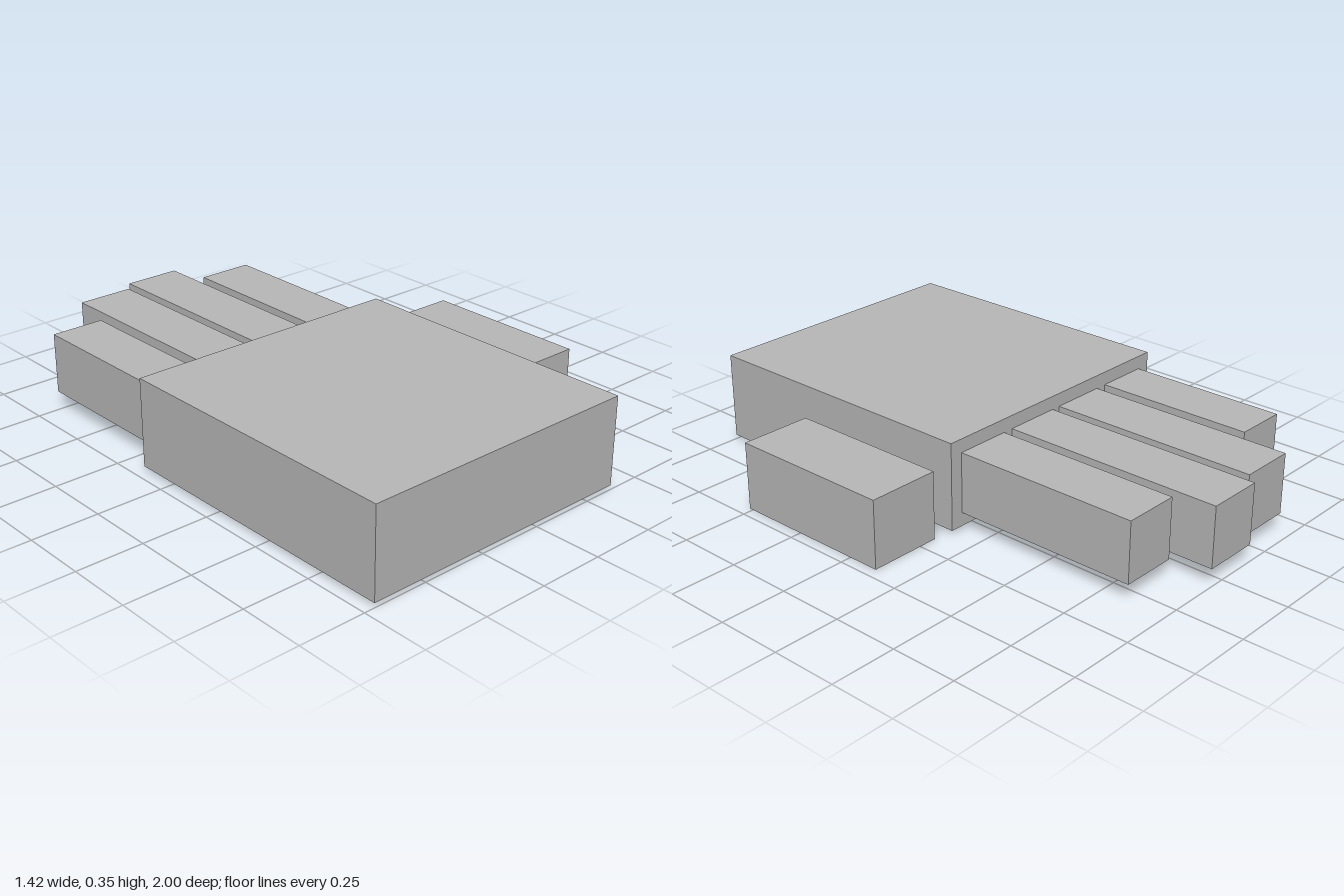
import * as THREE from 'three';

export function createModel() {
  const group = new THREE.Group();
  const grey = new THREE.MeshStandardMaterial({ color: 0xb8b8b8 });
  grey.name = 'grey';

  // Adds a box spanning the given [min, max] ranges
  function block(name, [x0, x1], [y0, y1], [z0, z1]) {
    const mesh = new THREE.Mesh(new THREE.BoxGeometry(x1 - x0, y1 - y0, z1 - z0), grey);
    mesh.position.set((x0 + x1) / 2, (y0 + y1) / 2, (z0 + z1) / 2);
    mesh.name = name;
    group.add(mesh);
  }

  const knuckleZ = -0.146;
  block('palm', [-0.71, 0.37], [0.016, 0.346], [knuckleZ, 1]);
  block('thumb', [0.43, 0.708], [0, 0.257], [-0.121, 0.516]);

  // Four fingers: name, x range, fingertip z
  const fingers = [
    ['littleFinger', [-0.656, -0.452], -0.76],
    ['ringFinger', [-0.406, -0.19], -0.955],
    ['middleFinger', [-0.154, 0.064], -1],
    ['indexFinger', [0.105, 0.32], -0.861],
  ];
  for (const [name, xRange, tipZ] of fingers) {
    block(name, xRange, [0.067, 0.295], [tipZ, knuckleZ]);
  }

  return group;
}
